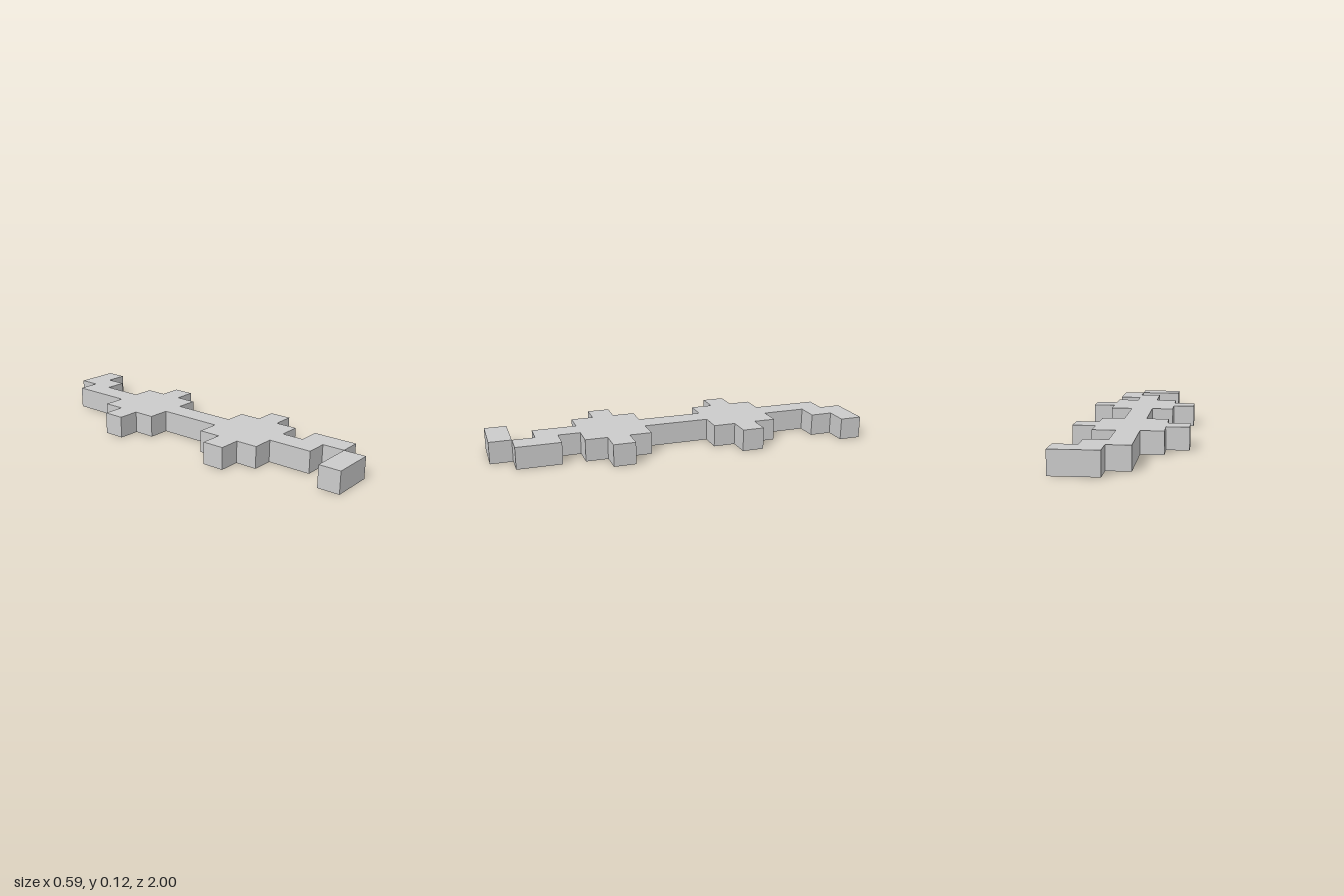
import * as THREE from 'three';

// The plan lies on a grid of 17 square cells along z and 5 along x
const U = 2 / 17;

// One side of a stepped cross plate starting at row z0
const plateSide = (z0) => [
  [0.5, 0], [1.5, 0], [1.5, 1], [2.5, 1], [2.5, 2], [1.5, 2], [1.5, 3], [0.5, 3],
].map(([x, z]) => [x, z0 + z]);

const mirrorSide = (side) => side.map(([x, z]) => [-x, z]).reverse();

export function createModel() {
  const group = new THREE.Group();
  const material = new THREE.MeshStandardMaterial({ color: 0xcccccc, flatShading: true });

  const backPlate = plateSide(4);
  const frontPlate = plateSide(10);

  // Outline: back hook, left side of both plates, front hook, right side back again
  const outline = [
    [0.5, 0], [2.5, 0], [2.5, 1], [1.5, 1], [1.5, 2], [0.5, 2],
    ...backPlate, ...frontPlate,
    [0.5, 14], [1.5, 14], [1.5, 16], [0.5, 16], [0.5, 15], [-0.5, 15],
    ...mirrorSide(frontPlate), ...mirrorSide(backPlate),
    [-0.5, 1], [0.5, 1],
  ].map(([x, z]) => new THREE.Vector2(x * U, z * U - 1));

  // Flat body, extruded one cell thick and laid on the ground
  const bodyGeometry = new THREE.ExtrudeGeometry(new THREE.Shape(outline), {
    depth: U, bevelEnabled: false,
  });
  bodyGeometry.rotateX(Math.PI / 2).translate(0, U, 0);
  const body = new THREE.Mesh(bodyGeometry, material);
  body.name = 'steppedBody';
  group.add(body);

  // Front end bar, touching the front hook only along a corner edge
  const endBar = new THREE.Mesh(new THREE.BoxGeometry(2 * U, U, U), material);
  endBar.position.set(-0.5 * U, U / 2, 1 - U / 2);
  endBar.name = 'frontEndBar';
  group.add(endBar);

  return group;
}
